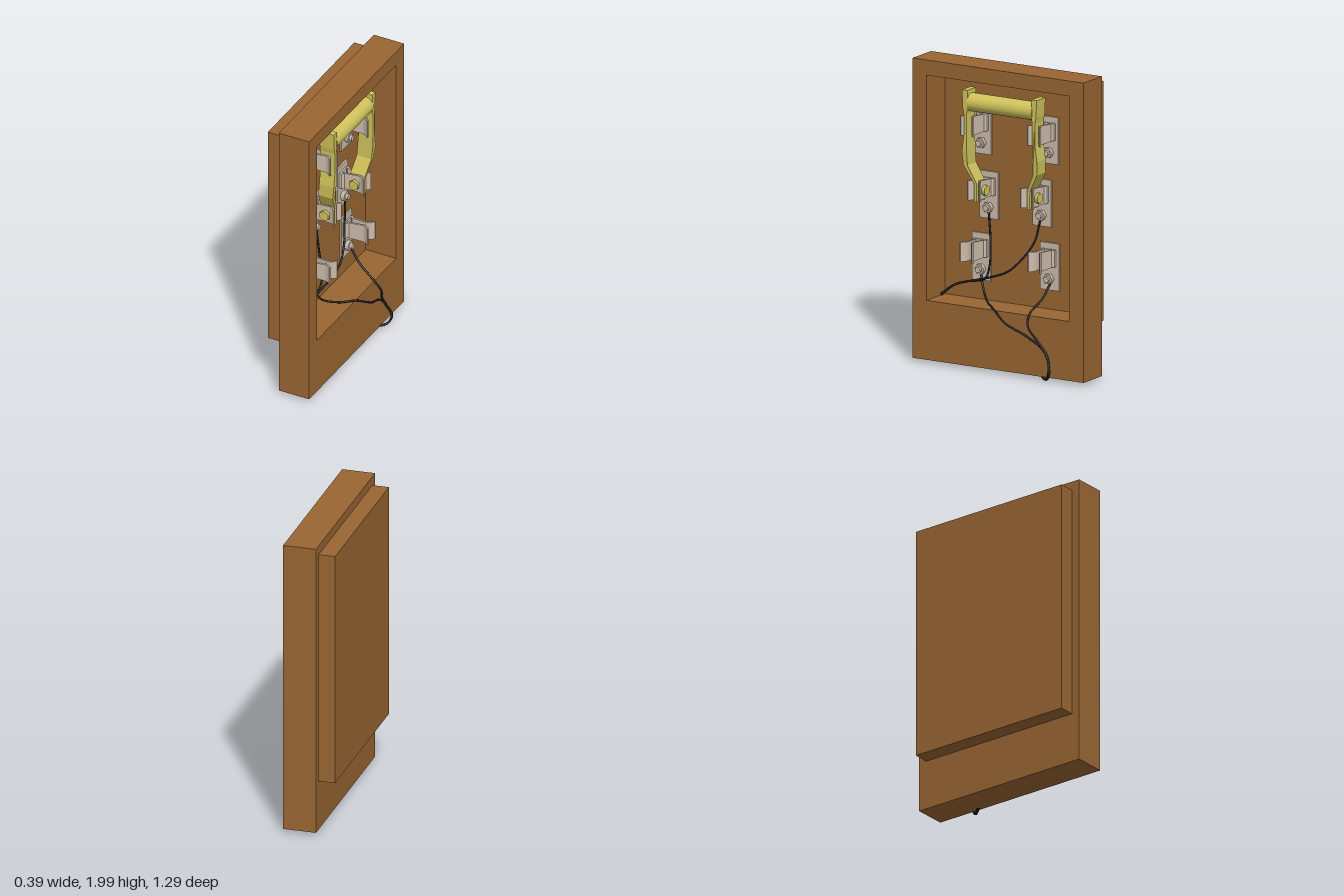
import * as THREE from 'three';

const mat = (color) => new THREE.MeshStandardMaterial({ color, side: THREE.DoubleSide });
const V = (p) => new THREE.Vector3(...p);
const shapeOf = (pts) => new THREE.Shape(pts.map(([x, y]) => new THREE.Vector2(x, y)));

export function createModel() {
  const root = new THREE.Group();
  const wood = mat(0x996633), metal = mat(0xccbbaa), brass = mat(0xd0c35c), rubber = mat(0x222222);
  const add = (parent, name, geo, material, pos = [0, 0, 0]) => {
    const mesh = new THREE.Mesh(geo, material);
    mesh.name = name;
    mesh.position.set(...pos);
    parent.add(mesh);
    return mesh;
  };
  // shape (z, y) extruded from x = front towards -x
  const extrudeX = (shape, depth, front) =>
    new THREE.ExtrudeGeometry(shape, { depth, bevelEnabled: false }).rotateY(-Math.PI / 2).translate(front, 0, 0);

  // Wooden frame with a rectangular opening, closed by a back panel
  const frame = shapeOf([[-0.645, 0.03], [0.645, 0.03], [0.645, 2], [-0.645, 2]]);
  frame.holes.push(shapeOf([[-0.535, 0.42], [-0.535, 1.9], [0.54, 1.9], [0.54, 0.42]]));
  add(root, 'frame', extrudeX(frame, 0.22, 0.13), wood);
  add(root, 'backPanel', new THREE.BoxGeometry(0.11, 1.575, 1.175), wood, [-0.145, 1.1525, 0]);

  // Spring jaw: two prongs that converge and flare out at the lips
  const prong = [[-0.085, 0.05], [-0.06, 0.05], [-0.045, 0.036], [0.055, 0.026], [0.075, 0.032], [0.1, 0.053]];
  const inner = [[0.103, 0.043], [0.08, 0.02], [0.058, 0.013], [-0.055, 0.024], [-0.068, 0.036], [-0.085, 0.036]];
  const jawHalf = (s) => {
    const shape = shapeOf([...prong, ...inner].map(([x, z]) => [x, s * z]));
    const geo = new THREE.ExtrudeGeometry(shape, { depth: 0.12, bevelEnabled: false })
      .rotateX(-Math.PI / 2).translate(0, -0.06, 0);
    const p = geo.attributes.position;
    // prongs grow slightly taller towards the lips
    for (let i = 0; i < p.count; i++) p.setY(i, p.getY(i) * (1 + 0.9 * p.getX(i)));
    geo.computeVertexNormals();
    return geo;
  };

  // Contact clip: base plate, jaw, hex nut and stud
  const addClip = (name, y, z) => {
    const clip = new THREE.Group();
    clip.name = name;
    clip.position.set(0, y, z);
    add(clip, 'basePlate', new THREE.BoxGeometry(0.012, 0.31, 0.14), metal, [-0.084, -0.06, 0]);
    add(clip, 'jawFoot', new THREE.BoxGeometry(0.012, 0.11, 0.09), metal, [-0.074, 0, 0]);
    for (const s of [1, -1]) add(clip, 'jawProng', jawHalf(s), metal);
    add(clip, 'nut', new THREE.CylinderGeometry(0.035, 0.035, 0.028, 6).rotateZ(-Math.PI / 2).toNonIndexed(),
      metal, [-0.065, -0.14, 0]);
    add(clip, 'stud', new THREE.CylinderGeometry(0.02, 0.02, 0.05, 12).rotateZ(-Math.PI / 2), metal, [-0.058, -0.14, 0]);
    root.add(clip);
  };
  for (const s of [1, -1]) {
    addClip('upperClip', 1.593, s * 0.253);
    addClip('middleClip', 1.175, s * 0.2);
    addClip('lowerClip', 0.763, s * 0.257);
  }

  // Swinging switch: two bent blades, cross handle and pivot bolts
  const lever = new THREE.Group();
  lever.name = 'switchLever';
  root.add(lever);
  const bladeLine = [ // z, y, half thickness
    [0.2, 1.1, 0.009], [0.2, 1.22, 0.011], [0.262, 1.34, 0.016], [0.265, 1.43, 0.018],
    [0.258, 1.54, 0.01], [0.258, 1.68, 0.01], [0.258, 1.72, 0.018], [0.262, 1.835, 0.02]];
  for (const s of [1, -1]) {
    const outer = bladeLine.map(([z, y, t]) => [s * (z + t), y]);
    const innerSide = bladeLine.map(([z, y, t]) => [s * (z - t), y]).reverse();
    const geo = extrudeX(shapeOf([...outer, ...innerSide]), 0.105, 0.115);
    const p = geo.attributes.position;
    // lower end steps back to the pivot
    for (let i = 0; i < p.count; i++)
      p.setX(i, p.getX(i) - 0.03 * THREE.MathUtils.clamp((1.4 - p.getY(i)) / 0.18, 0, 1));
    geo.computeVertexNormals();
    add(lever, 'blade', geo, brass);
    add(lever, 'pivotPin', new THREE.CylinderGeometry(0.02, 0.02, 0.1, 12).rotateX(Math.PI / 2), brass, [0.027, 1.17, s * 0.2]);
    for (const d of [1, -1])
      add(lever, 'pivotHead', new THREE.CylinderGeometry(0.036, 0.036, 0.022, 6).rotateX(Math.PI / 2).toNonIndexed(),
        brass, [0.027, 1.17, s * 0.2 + d * 0.042]);
  }
  add(lever, 'handle', new THREE.CylinderGeometry(0.06, 0.06, 0.49, 24).rotateX(Math.PI / 2), brass, [0.062, 1.75, 0]);

  // Loose wires from the lower and middle contacts
  const tail = [[0.168, 0.07, -0.41], [0.155, 0.025, -0.385], [0.13, 0.017, -0.355], [0.1, 0.024, -0.32]];
  const wires = [
    [[-0.06, 1.01, 0.19], [-0.05, 0.82, 0.17], [-0.03, 0.66, 0.165], [-0.03, 0.575, 0.2], [-0.03, 0.54, 0.33],
      [-0.03, 0.5, 0.44], [-0.04, 0.43, 0.535]],
    [[-0.06, 1.01, -0.2], [-0.045, 0.86, -0.165], [-0.01, 0.74, -0.09], [0.01, 0.655, 0], [0, 0.6, 0.13],
      [-0.02, 0.56, 0.26], [-0.03, 0.51, 0.42], [-0.04, 0.425, 0.535]],
    [[-0.06, 0.6, 0.25], [-0.02, 0.49, 0.2], [0.06, 0.445, 0.12], [0.135, 0.428, 0.03], [0.185, 0.36, -0.09],
      [0.16, 0.29, -0.23], [0.135, 0.2, -0.35], ...tail],
    [[-0.06, 0.6, -0.275], [0.01, 0.51, -0.26], [0.125, 0.43, -0.235], [0.172, 0.36, -0.25],
      [0.147, 0.26, -0.31], [0.137, 0.17, -0.375], ...tail.map(([x, y, z]) => [x, y, z + 0.008])]];
  wires.forEach((pts) =>
    add(root, 'wire', new THREE.TubeGeometry(new THREE.CatmullRomCurve3(pts.map(V)), 64, 0.007, 8), rubber));

  return root;
}
